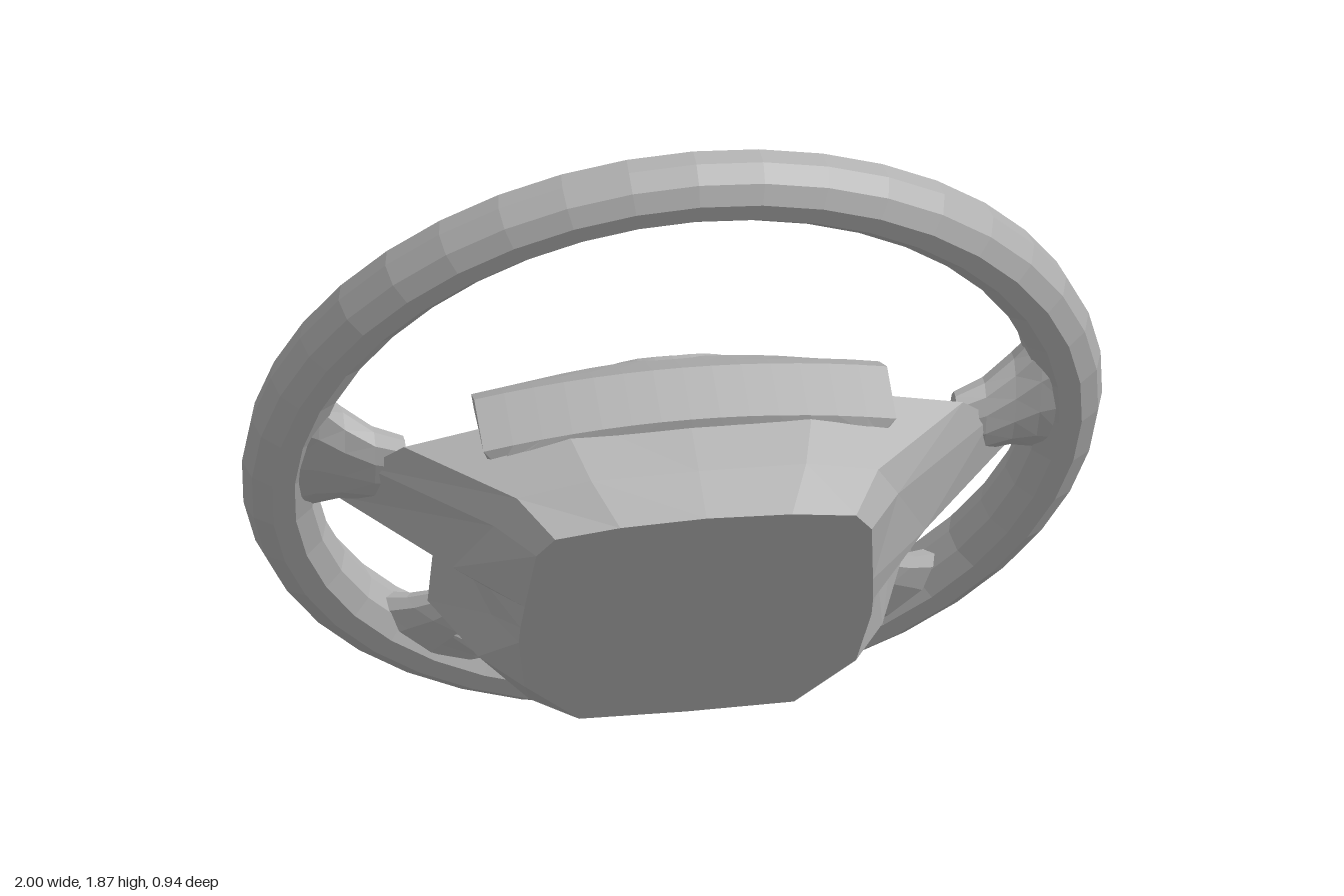
import * as THREE from 'three';

const grey = new THREE.MeshStandardMaterial({ color: 0xb2b2b2, flatShading: true, side: THREE.DoubleSide });
grey.name = 'grey plastic';

// Skin a row of closed rings, optionally capping the first or last one
function loft(rings, capStart = false, capEnd = false) {
  const n = rings[0].length, index = [];
  for (let r = 0; r < rings.length - 1; r++) {
    for (let i = 0; i < n; i++) {
      const a = r * n + i, b = r * n + (i + 1) % n;
      index.push(a, b, a + n, b, b + n, a + n);
    }
  }
  const points = rings.flat();
  // A fan to a centre point
  const cap = (r, flip) => {
    const centre = [0, 1, 2].map(k => rings[r].reduce((sum, p) => sum + p[k], 0) / n);
    points.push(centre);
    for (let i = 0; i < n; i++) {
      const a = r * n + i, b = r * n + (i + 1) % n;
      index.push(flip ? a : b, flip ? b : a, points.length - 1);
    }
  };
  if (capStart) cap(0, false);
  if (capEnd) cap(rings.length - 1, true);
  const g = new THREE.BufferGeometry();
  g.setAttribute('position', new THREE.Float32BufferAttribute(points.flat(), 3));
  g.setIndex(index);
  g.computeVertexNormals();
  return g;
}

function add(parent, geometry, name) {
  const mesh = new THREE.Mesh(geometry, grey);
  mesh.name = name;
  parent.add(mesh);
  return mesh;
}

// Linear interpolation through [position, value] pairs
function along(table, t) {
  for (let i = 1; i < table.length; i++) {
    const [a, va] = table[i - 1], [b, vb] = table[i];
    if (t <= b || i === table.length - 1) {
      return THREE.MathUtils.lerp(va, vb, THREE.MathUtils.clamp((t - a) / (b - a), 0, 1));
    }
  }
}

// Half outline (from top centre to bottom centre) mirrored to a full ring
function mirrorRing(half) {
  return [...half, ...half.slice(1, -1).reverse().map(([x, y, z]) => [-x, y, z])];
}

// Domed surface of the hub pad
const domeProfile = [[-0.69, -0.085], [-0.46, -0.085], [-0.2, -0.123], [-0.06, -0.13], [0.1, -0.108], [0.17, -0.07], [0.29, 0.05]];
const domeZ = (x, y) => along(domeProfile, y) + 0.045 * (x / 0.42) ** 2;
const padWidth = [[0, 0.5], [0.12, 0.45], [0.25, 0.405], [0.45, 0.385], [0.65, 0.39], [0.8, 0.42], [0.93, 0.475], [1, 0.48]];

function padPoint(s, t) {
  const x = s * along(padWidth, t);
  const low = -0.53 - 0.155 * (x / 0.5) ** 2;
  const high = 0.29 - 0.06 * (x / 0.48) ** 2;
  const y = low + (high - low) * t;
  return [x, y, domeZ(x, y)];
}

// Flared spoke root; each row is [radius, sideways shift, half width, half depth, z]
function spokeRoot(rows) {
  const sides = 12;
  return loft(rows.map(([r, shift, hw, hd, z]) => Array.from({ length: sides }, (_, i) => {
    const a = i / sides * Math.PI * 2;
    return [r, shift + hw * Math.cos(a), z + hd * Math.sin(a)];
  })), false, true);
}

export function createModel() {
  const model = new THREE.Group();
  model.name = 'steeringWheel';
  const wheel = new THREE.Group();
  wheel.name = 'tiltedWheel';
  wheel.position.set(0, 0.942, -0.05);
  wheel.rotation.x = THREE.MathUtils.degToRad(21.7);
  model.add(wheel);

  // Rim
  add(wheel, new THREE.TorusGeometry(0.915, 0.085, 10, 40), 'rim');

  // Hollow rear housing with side arms
  const back = [[0, 0.27, 0.12], [0.3, 0.26, 0.12], [0.65, 0.165, 0.12], [0.73, 0.06, 0.09], [0.78, -0.11, 0.04],
    [0.6, -0.115, 0.03], [0.54, -0.2, 0.04], [0.55, -0.5, 0.07], [0.42, -0.695, 0.09], [0, -0.53, 0.1]];
  const middle = [[0, 0.265, 0.33], [0.25, 0.26, 0.33], [0.42, 0.215, 0.33], [0.47, 0.13, 0.34], [0.55, -0.07, 0.3],
    [0.46, -0.15, 0.31], [0.45, -0.25, 0.31], [0.47, -0.42, 0.3], [0.34, -0.6, 0.3], [0, -0.52, 0.33]];
  const front = [[0, 0.255, 0.46], [0.2, 0.245, 0.46], [0.35, 0.22, 0.46], [0.39, 0.16, 0.458], [0.405, -0.04, 0.452],
    [0.41, -0.12, 0.45], [0.41, -0.18, 0.448], [0.385, -0.36, 0.442], [0.25, -0.505, 0.438], [0, -0.51, 0.438]];
  add(wheel, loft([front, middle, back].map(mirrorRing), true), 'rearHousing');

  // Hub pad: domed face
  const face = new THREE.PlaneGeometry(2, 1, 14, 14);
  face.rotateY(Math.PI);
  const p = face.attributes.position;
  for (let i = 0; i < p.count; i++) p.setXYZ(i, ...padPoint(p.getX(i), p.getY(i) + 0.5));
  face.computeVertexNormals();
  add(wheel, face, 'hubPad');

  // Hub pad: thin edge with a top ridge, then side walls running into the housing
  const border = [];
  const steps = 14;
  for (let i = 0; i < steps; i++) border.push(padPoint(-1 + 2 * i / steps, 1));
  for (let i = 0; i < steps; i++) border.push(padPoint(1, 1 - i / steps));
  for (let i = 0; i < steps; i++) border.push(padPoint(1 - 2 * i / steps, 0));
  for (let i = 0; i < steps; i++) border.push(padPoint(-1, i / steps));
  const edge = border.map(([x, y, z]) => [x, y, y > 0.225 ? 0.2 : z + 0.04]);
  const deep = border.map(([x, y]) => [
    THREE.MathUtils.clamp(x * 1.2, -0.44, 0.44), y * (y < 0 ? 0.78 : 0.8), 0.22]);
  add(wheel, loft([border, edge, deep]), 'hubPadWall');

  // Raised round centre plate following the dome, its outer ring sunk into the pad
  const plate = new THREE.RingGeometry(0, 0.2, 28, 10);
  plate.rotateY(Math.PI);
  const q = plate.attributes.position;
  for (let i = 0; i < q.count; i++) {
    const x = q.getX(i), y = q.getY(i);
    q.setZ(i, domeZ(x, y) + (Math.hypot(x, y) > 0.19 ? 0.012 : -0.008));
  }
  plate.computeVertexNormals();
  add(wheel, plate, 'centrePlate');

  // Spoke roots, mirrored left and right
  for (const side of [1, -1]) {
    const spokes = new THREE.Group();
    spokes.name = side > 0 ? 'leftSpokes' : 'rightSpokes';
    spokes.scale.x = side;
    wheel.add(spokes);
    add(spokes, spokeRoot([[0.91, 0.05, 0.27, 0.07, 0], [0.84, 0.055, 0.205, 0.075, 0.01],
      [0.78, 0.045, 0.15, 0.07, 0.03], [0.71, 0.035, 0.115, 0.06, 0.06], [0.64, 0.035, 0.1, 0.05, 0.08]]), 'sideSpoke');
    const lower = add(spokes, spokeRoot([[0.91, 0, 0.25, 0.07, 0], [0.84, 0, 0.2, 0.06, 0.015],
      [0.78, 0, 0.15, 0.045, 0.035], [0.72, 0, 0.11, 0.035, 0.045]]), 'lowerSpoke');
    lower.rotation.z = Math.atan2(-0.72, 0.55);
  }
  return model;
}
